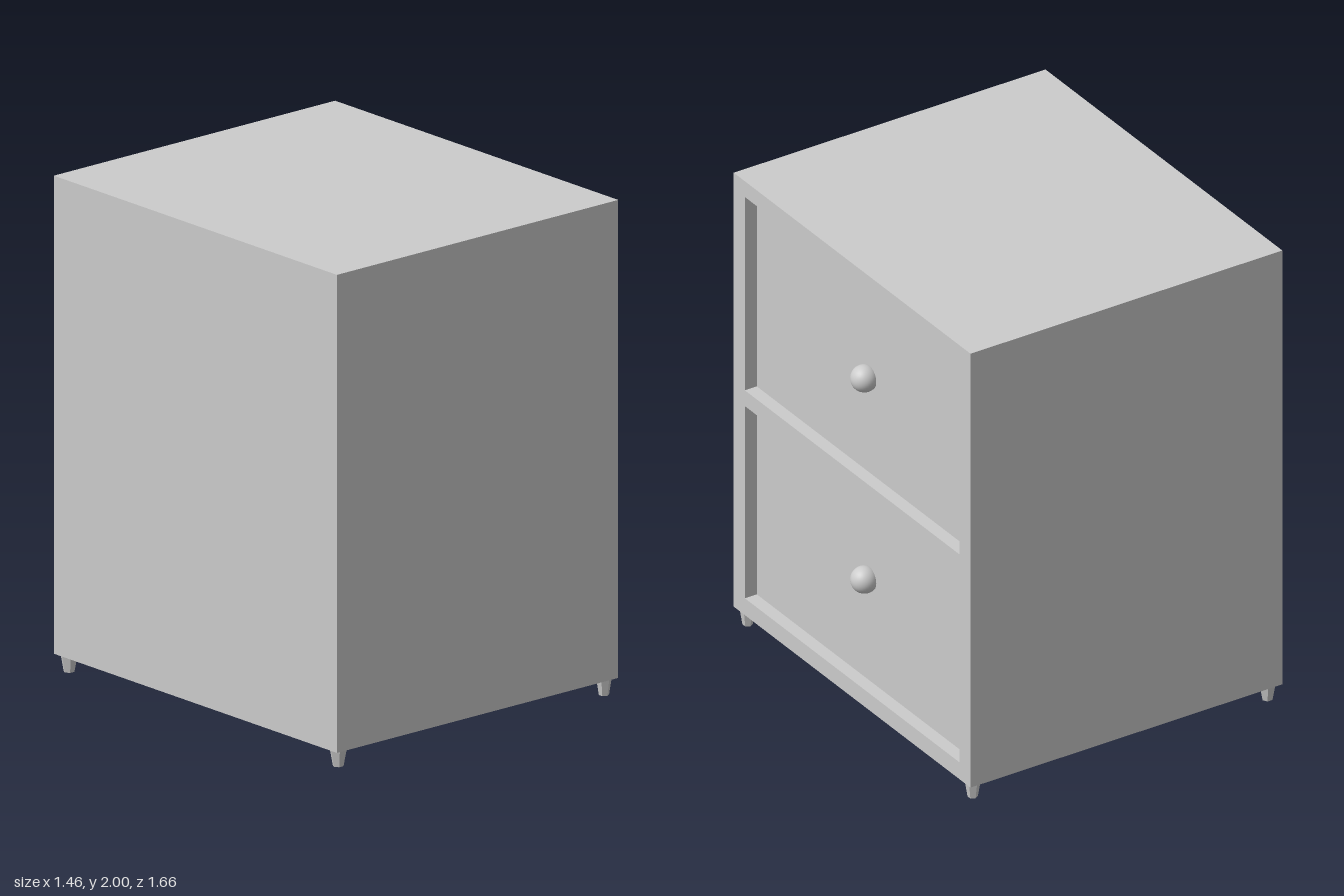
import * as THREE from 'three';

export function createModel() {
  const model = new THREE.Group();
  const flat = new THREE.MeshStandardMaterial({ color: 0xcccccc, flatShading: true });
  const smooth = new THREE.MeshStandardMaterial({ color: 0xcccccc });

  function add(name, geometry, material, x, y, z) {
    const mesh = new THREE.Mesh(geometry, material);
    mesh.name = name;
    mesh.position.set(x, y, z);
    model.add(mesh);
    return mesh;
  }

  const left = -0.73, face = 0.705, recess = 0.055;
  const bottom = 0.07, top = 2, halfDepth = 0.828;
  const openings = [[0.145, 1.0], [1.07, 1.93]];
  const halfOpening = 0.75;

  function rect(path, halfWidth, y0, y1) {
    path.moveTo(-halfWidth, y0);
    path.lineTo(halfWidth, y0);
    path.lineTo(halfWidth, y1);
    path.lineTo(-halfWidth, y1);
    path.closePath();
    return path;
  }

  // Cabinet body behind the frame; its +x wall carries the drawer panels
  const bodyWidth = face - recess - left;
  add('cabinetBody', new THREE.BoxGeometry(bodyWidth, top - bottom, halfDepth * 2), flat,
    left + bodyWidth / 2, (top + bottom) / 2, 0);

  // Face frame with two drawer openings, turned to face +x
  const outline = rect(new THREE.Shape(), halfDepth, bottom, top);
  for (const [y0, y1] of openings) outline.holes.push(rect(new THREE.Path(), halfOpening, y0, y1));
  const frame = new THREE.ExtrudeGeometry(outline, { depth: recess, bevelEnabled: false });
  frame.rotateY(Math.PI / 2);
  add('faceFrame', frame, flat, face - recess, 0, 0);

  // Round drawer knobs
  for (const y of [0.6, 1.495]) {
    add('drawerKnob', new THREE.SphereGeometry(0.055, 32, 20), smooth, 0.672, y, -0.035);
  }

  // Tapered six-sided feet, turned differently on each side
  for (const z of [-0.787, 0.787]) {
    add('rightFoot', new THREE.CylinderGeometry(0.035, 0.022, bottom, 6), flat, -0.688, bottom / 2, z)
      .rotation.y = Math.PI / 2;
    add('leftFoot', new THREE.CylinderGeometry(0.031, 0.02, bottom, 6), flat, 0.668, bottom / 2, z);
  }

  return model;
}
